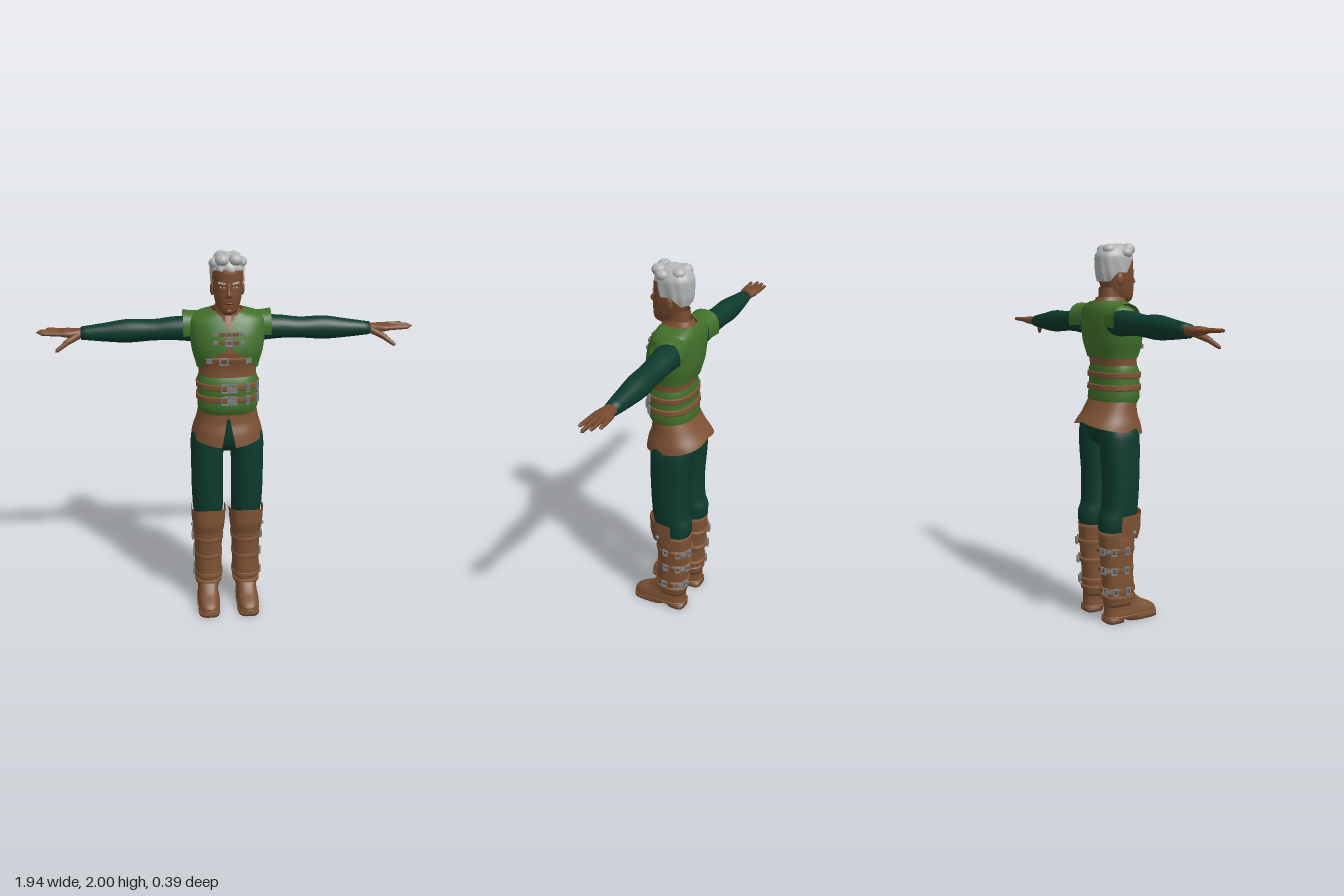
import * as THREE from 'three';
import { mergeVertices } from 'three/addons/utils/BufferGeometryUtils.js';

const TAU = Math.PI * 2;
const colour = (name, hex) => {
  const m = new THREE.MeshStandardMaterial({ color: hex, side: THREE.DoubleSide });
  m.name = name;
  return m;
};

// Cross-section rows: [height, centre x, half width, back z, front z]
const bodyRows = [[1.14, 0, 0.148, -0.108, 0.105], [1.2, 0, 0.148, -0.1, 0.115], [1.3, 0, 0.146, -0.09, 0.115],
  [1.4, 0, 0.15, -0.1, 0.108], [1.5, 0, 0.174, -0.124, 0.124], [1.58, 0, 0.184, -0.129, 0.111],
  [1.645, 0, 0.186, -0.124, 0.085], [1.68, 0, 0.155, -0.113, 0.064], [1.7, 0, 0.08, -0.1, 0.05]];
const skirtRows = [[0.97, 0, 0.2, -0.23, 0.15], [1.06, 0, 0.183, -0.195, 0.135], [1.12, 0, 0.165, -0.15, 0.115], [1.19, 0, 0.152, -0.108, 0.108]];
const headRows = [[1.69, 0, 0.022, 0.04, 0.085], [1.705, 0, 0.042, 0, 0.112], [1.73, 0, 0.057, -0.04, 0.118],
  [1.78, 0, 0.069, -0.06, 0.119], [1.835, 0, 0.075, -0.075, 0.116], [1.9, 0, 0.076, -0.078, 0.113],
  [1.95, 0, 0.062, -0.062, 0.09], [1.978, 0, 0.02, -0.02, 0.04]];
const hairRows = [[1.78, 0, 0.066, -0.072, 0.1], [1.85, 0, 0.083, -0.088, 0.112], [1.92, 0, 0.086, -0.09, 0.108],
  [1.96, 0, 0.07, -0.072, 0.092], [1.985, 0, 0.04, -0.035, 0.06], [1.992, 0, 0.002, 0.01, 0.014]];
const legRows = [[0.47, 0.105, 0.06, -0.115, 0.03], [0.5, 0.105, 0.076, -0.136, 0.05], [0.56, 0.105, 0.08, -0.14, 0.065],
  [0.62, 0.106, 0.084, -0.118, 0.075], [0.75, 0.108, 0.086, -0.113, 0.082], [0.9, 0.108, 0.087, -0.123, 0.086],
  [1, 0.104, 0.09, -0.128, 0.086], [1.1, 0.085, 0.08, -0.12, 0.08]];
const bootRows = [[0.09, 0.108, 0.06, -0.112, 0.06], [0.15, 0.106, 0.067, -0.114, 0.052], [0.3, 0.105, 0.066, -0.126, 0.04],
  [0.42, 0.105, 0.073, -0.134, 0.045], [0.5, 0.105, 0.079, -0.138, 0.058]];
const kneeRows = [[0.44, 0.104, 0.076, -0.12, 0.062], [0.53, 0.104, 0.084, -0.12, 0.082], [0.62, 0.104, 0.088, -0.115, 0.082]];

// Smooth, overshoot-free interpolation between rows
function section(rows, y) {
  let i = 0;
  while (i < rows.length - 2 && y > rows[i + 1][0]) i++;
  const A = rows[i], B = rows[i + 1], h = B[0] - A[0], t = THREE.MathUtils.clamp((y - A[0]) / h, 0, 1);
  const slope = (j, k) => (rows[j + 1][k] - rows[j][k]) / (rows[j + 1][0] - rows[j][0]);
  const tangent = (j, k) => {
    if (j === 0) return slope(0, k);
    if (j === rows.length - 1) return slope(j - 1, k);
    const p = slope(j - 1, k), q = slope(j, k);
    return p * q <= 0 ? 0 : 2 * p * q / (p + q);
  };
  return [1, 2, 3, 4].map(k => (2 * t ** 3 - 3 * t * t + 1) * A[k] + (t ** 3 - 2 * t * t + t) * h * tangent(i, k)
    + (3 * t * t - 2 * t ** 3) * B[k] + (t ** 3 - t * t) * h * tangent(i + 1, k));
}

// Point on a lofted surface; angle 0 is the front, a quarter turn is +x
function point(rows, a, y, off = 0, e = 0.85) {
  const [cx, rx, zb, zf] = section(rows, y), s = Math.sin(a), c = Math.cos(a);
  const bend = v => Math.sign(v) * Math.abs(v) ** e;
  return new THREE.Vector3(cx + (rx + off) * bend(s), y, (zb + zf) / 2 + ((zf - zb) / 2 + off) * bend(c));
}

// Lofted skin, optionally a partial arc with lower and upper edges that follow the angle
function loft(rows, { a0 = () => 0, a1 = v => TAU - a0(v), lo = () => rows[0][0], hi = () => rows.at(-1)[0],
  off = () => 0, nu = 40, nv = 20, e = 0.85, cap = false } = {}) {
  const pos = [], idx = [];
  for (let i = 0; i <= nu; i++) for (let j = 0; j <= nv; j++) {
    const v = j / nv, a = THREE.MathUtils.lerp(a0(v), a1(v), i / nu), d = Math.min(Math.abs(a), Math.abs(TAU - a));
    pos.push(...point(rows, a, THREE.MathUtils.lerp(lo(d), hi(d), v), off(v, a), e).toArray());
  }
  for (let i = 0; i < nu; i++) for (let j = 0; j < nv; j++) {
    const p = i * (nv + 1) + j, q = p + nv + 1;
    idx.push(p, q, q + 1, p, q + 1, p + 1);
  }
  if (cap) for (const j of [0, nv]) {
    const r = rows[j ? rows.length - 1 : 0], c = pos.length / 3;
    pos.push(r[1], r[0], (r[3] + r[4]) / 2);
    for (let i = 0; i < nu; i++) {
      const p = i * (nv + 1) + j, q = p + nv + 1;
      idx.push(c, ...(j ? [p, q] : [q, p]));
    }
  }
  let g = new THREE.BufferGeometry();
  g.setAttribute('position', new THREE.Float32BufferAttribute(pos, 3));
  g.setIndex(idx);
  g = mergeVertices(g, 1e-5);
  g.computeVertexNormals();
  return g;
}
const band = (rows, y0, y1, off, opts = {}) => loft(rows, { lo: () => y0, hi: () => y1, nv: 8, off: v => (v === 0 || v === 1 ? 0 : off), ...opts });

// Tapered round-ended rod between two points
function rod(a, b, r0, r1) {
  const A = new THREE.Vector3(...a), d = new THREE.Vector3(...b).sub(A), L = d.length();
  const row = (y, r) => [y, 0, r, -r, r];
  const g = loft([row(0, r0), row(L * 0.5, (r0 + r1) / 2), row(L - r1, r1), row(L - r1 * 0.3, r1 * 0.7), row(L, 0.001)], { nu: 10, nv: 10, e: 1 });
  return g.applyQuaternion(new THREE.Quaternion().setFromUnitVectors(new THREE.Vector3(0, 1, 0), d.normalize())).translate(...A.toArray());
}
const ball = (x, y, z, rx, ry, rz) => new THREE.SphereGeometry(1, 18, 12).scale(rx, ry, rz).translate(x, y, z);

// Seat a small piece on a lofted surface, facing outward
function seat(geo, rows, a, y, off) {
  const p = point(rows, a, y, off), t = point(rows, a + 0.05, y).sub(point(rows, a - 0.05, y));
  return geo.rotateY(Math.atan2(-t.z, t.x)).translate(p.x, p.y, p.z);
}
function buckle(w, h) {
  const s = new THREE.Shape([[-w, -h], [w, -h], [w, h], [-w, h]].map(p => new THREE.Vector2(...p)));
  const k = 0.006;
  s.holes.push(new THREE.Path([[k - w, k - h], [k - w, h - k], [w - k, h - k], [w - k, k - h]].map(p => new THREE.Vector2(...p))));
  return new THREE.ExtrudeGeometry(s, { depth: 0.01, bevelEnabled: false });
}
function mirrored(g) {
  const m = (g.index ? g.toNonIndexed() : g.clone()).scale(-1, 1, 1);
  for (const a of Object.values(m.attributes)) for (let i = 0; i < a.count; i += 3) for (let k = 0; k < a.itemSize; k++) {
    const t = a.getComponent(i + 1, k);
    a.setComponent(i + 1, k, a.getComponent(i + 2, k));
    a.setComponent(i + 2, k, t);
  }
  return m;
}

export function createModel() {
  const root = new THREE.Group();
  root.name = 'standingMan';
  const green = colour('vestGreen', 0x41702a), dark = colour('sleeveAndTrouserGreen', 0x0d3a2d), leather = colour('leather', 0x7d5233),
    skin = colour('skin', 0x774a2e), grey = colour('hairGrey', 0xb2b5b4), metal = colour('buckleMetal', 0x7c7f82),
    white = colour('eyeWhite', 0xc4bfb5), lip = colour('darkSkin', 0x53301f);
  const add = (name, geo, mat) => {
    const m = new THREE.Mesh(geo, mat);
    m.name = name;
    root.add(m);
  };
  const pair = (name, geo, mat) => {
    add(name + 'Left', geo, mat);
    add(name + 'Right', mirrored(geo), mat);
  };

  // Torso: leather jerkin, cut-away vest, waist wrap, belts and collar
  add('jerkin', loft(bodyRows, { nv: 30 }), leather);
  add('vest', loft(bodyRows, { nu: 72, a0: v => 0.03 + 0.5 * Math.max(0, v - 0.75), off: () => 0.009,
    lo: d => 1.41 + 0.115 * Math.max(0, 1 - d / 1.05), hi: d => 1.7 - 0.025 * Math.max(0, 1 - d / 0.7) }), green);
  add('waistWrap', band(bodyRows, 1.17, 1.37, 0.01), green);
  for (const y of [1.32, 1.255]) {
    add('belt', band(bodyRows, y - 0.018, y + 0.018, 0.018), leather);
    for (const a of [-0.08, 0.1, 0.55, 1.05]) add('beltBuckle', seat(buckle(a > 0.5 ? 0.009 : 0.02, 0.023), bodyRows, a, y, 0.018), metal);
    add('beltTip', seat(new THREE.BoxGeometry(0.05, 0.02, 0.012), bodyRows, 0.05, y, 0.032), metal);
  }
  add('chestStrap', band(bodyRows, 1.45, 1.48, 0.018, { a0: () => -0.62, a1: () => 0.62 }), leather);
  add('chestBuckle', seat(buckle(0.022, 0.019), bodyRows, -0.1, 1.465, 0.016), metal);
  pair('chestStrapTip', seat(new THREE.BoxGeometry(0.03, 0.024, 0.01), bodyRows, 0.5, 1.465, 0.018), metal);
  for (const y of [1.6, 1.56]) {
    add('clasp', seat(new THREE.BoxGeometry(0.1, 0.016, 0.012), bodyRows, 0, y, 0.014), leather);
    add('claspBuckle', seat(buckle(0.018, 0.016), bodyRows, 0, y, 0.016), metal);
    pair('claspEnd', seat(new THREE.BoxGeometry(0.022, 0.016, 0.014), bodyRows, 0.28, y, 0.014), metal);
  }
  add('collar', loft([[1.655, 0, 0.088, -0.108, 0.08], [1.69, 0, 0.073, -0.098, 0.07], [1.72, 0, 0.064, -0.085, 0.066]], { a0: () => 0.12 }), leather);
  add('skirt', loft(skirtRows, { a0: v => 0.004 + 0.15 * (1 - v), e: 0.9, lo: d => 0.995 + 0.08 * (d / Math.PI) ** 1.2, hi: () => 1.185 }), leather);

  // Head, face and hair
  add('neck', loft([[1.63, 0, 0.075, -0.09, 0.055], [1.7, 0, 0.056, -0.076, 0.058], [1.77, 0, 0.054, -0.07, 0.06]]), skin);
  add('head', loft(headRows, { cap: true, nv: 30 }), skin);
  add('nose', loft([[1.782, 0, 0.008, 0.1, 0.118], [1.792, 0, 0.017, 0.1, 0.137], [1.8, 0, 0.015, 0.1, 0.143],
    [1.83, 0, 0.008, 0.1, 0.128], [1.86, 0, 0.009, 0.1, 0.116]], { nu: 16, cap: true, e: 1 }), skin);
  add('lips', ball(0, 1.757, 0.117, 0.022, 0.006, 0.006), lip);
  add('chin', ball(0, 1.718, 0.1, 0.022, 0.016, 0.022), skin);
  pair('ear', ball(0.076, 1.808, 0.003, 0.011, 0.034, 0.02), skin);
  pair('eye', seat(new THREE.BoxGeometry(0.022, 0.008, 0.005), headRows, 0.36, 1.836, 0), white);
  pair('iris', seat(new THREE.BoxGeometry(0.008, 0.008, 0.007), headRows, 0.36, 1.836, 0), lip);
  pair('eyebrow', seat(new THREE.BoxGeometry(0.036, 0.008, 0.009).rotateZ(0.1), headRows, 0.4, 1.857, 0.001), grey);
  add('hair', loft(hairRows, { nu: 72, off: (v, a) => 0.003 * Math.sin(a * 11 + v * 4) * (1 - v),
    lo: d => d < 0.95 ? 1.915 : d < 1.3 ? 1.915 - (d - 0.95) * 0.2 : d < 1.75 ? 1.845 : Math.max(1.8, 1.845 - (d - 1.75) * 0.09) }), grey);
  for (const [x, y, z, r] of [[0.035, 1.965, 0.075, 0.036], [-0.03, 1.965, 0.078, 0.036], [0.062, 1.95, 0.045, 0.032],
    [-0.062, 1.945, 0.045, 0.033], [0, 1.97, 0.03, 0.03], [-0.03, 1.96, -0.035, 0.036], [0.035, 1.96, -0.03, 0.034]])
    add('hairLock', ball(x, y, z, r, r * 0.85, r * 1.05), grey);

  // Arms and hands, lofted along x
  const along = (rows, opts) => loft(rows, opts).rotateZ(-Math.PI / 2);
  pair('sleeve', along([[0.13, -1.59, 0.07, -0.118, 0.02], [0.27, -1.592, 0.06, -0.116, 0.012], [0.38, -1.585, 0.054, -0.113, 0.004],
    [0.5, -1.582, 0.06, -0.114, 0], [0.62, -1.577, 0.048, -0.105, -0.008], [0.745, -1.574, 0.033, -0.09, -0.02]], { cap: true, nu: 28, e: 0.95 }), dark);
  pair('shoulderCap', along([[0.12, -1.605, 0.08, -0.125, 0.04], [0.18, -1.6, 0.082, -0.128, 0.03], [0.225, -1.6, 0.088, -0.134, 0.03]],
    { a0: () => 0.9 * Math.PI, a1: () => 2.1 * Math.PI, nv: 8 }), green);
  pair('palm', along([[0.72, -1.575, 0.024, -0.08, -0.03], [0.77, -1.575, 0.024, -0.09, -0.018], [0.82, -1.578, 0.021, -0.105, -0.008],
    [0.855, -1.58, 0.014, -0.106, -0.008]], { cap: true, nu: 24 }), skin);
  for (const [z0, z1, x] of [[-0.096, -0.108, 0.93], [-0.07, -0.078, 0.962], [-0.045, -0.048, 0.972], [-0.02, -0.016, 0.952]])
    pair('finger', rod([0.835, 1.58, z0], [x, 1.584, z1], 0.0125, 0.008), skin);
  pair('thumbBase', rod([0.75, 1.572, -0.04], [0.835, 1.53, 0.008], 0.02, 0.013), skin);
  pair('thumb', rod([0.81, 1.543, -0.004], [0.872, 1.5, 0.028], 0.014, 0.009), skin);

  // Trousers
  add('trouserSeat', loft([[0.94, 0, 0.06, -0.07, 0.04], [0.98, 0, 0.13, -0.118, 0.075], [1.05, 0, 0.165, -0.13, 0.09], [1.17, 0, 0.145, -0.1, 0.09]], { cap: true }), dark);
  pair('trouserLeg', loft(legRows, { cap: true, nv: 32 }), dark);

  // Boots: shaft, shin plate, knee guard, foot, sole and straps
  const arc = w => ({ a0: () => -w, a1: () => w });
  pair('bootShaft', loft(bootRows, { cap: true }), leather);
  pair('shinPlate', band(bootRows, 0.145, 0.49, 0.009, arc(1.75)), leather);
  pair('ankleCuff', band(bootRows, 0.125, 0.15, 0.01), leather);
  pair('kneeGuard', loft(kneeRows, { ...arc(1.85), lo: d => 0.455 + 0.03 * Math.max(0, d - 0.9), hi: d => 0.607 - 0.01 * d, off: () => 0.008, e: 0.75 }), leather);
  pair('kneeRivet', seat(new THREE.SphereGeometry(0.011, 10, 8), kneeRows, 1.25, 0.495, 0.01), metal);
  pair('foot', loft([[0.018, 0.11, 0.06, -0.113, 0.196], [0.045, 0.11, 0.06, -0.113, 0.196], [0.065, 0.11, 0.057, -0.112, 0.175],
    [0.095, 0.109, 0.055, -0.112, 0.115], [0.14, 0.107, 0.058, -0.112, 0.06]], { cap: true, e: 0.75 }), leather);
  pair('toeSeam', band([[0, 0.11, 0.06, -0.113, 0.196], [0.1, 0.11, 0.06, -0.113, 0.196]], 0.022, 0.036, 0.004, { e: 0.75 }), leather);
  const slab = (y, b, f, w) => loft([[0, 0.11, w, b, f], [y, 0.11, w, b, f]], { cap: true, e: 0.6, nv: 1 });
  pair('sole', slab(0.024, 0.005, 0.199, 0.06), leather);
  pair('heel', slab(0.03, -0.116, -0.012, 0.056), leather);
  for (const y of [0.4, 0.295, 0.18]) {
    pair('bootStrap', band(bootRows, y - 0.014, y + 0.014, 0.013), leather);
    for (const a of [1.45, 2.1, 2.85]) pair('bootBuckle', seat(buckle(0.015, 0.019), bootRows, a, y, 0.011), metal);
    pair('bootStrapTip', seat(new THREE.BoxGeometry(0.028, 0.014, 0.012), bootRows, 2.45, y, 0.014), metal);
  }
  return root;
}
